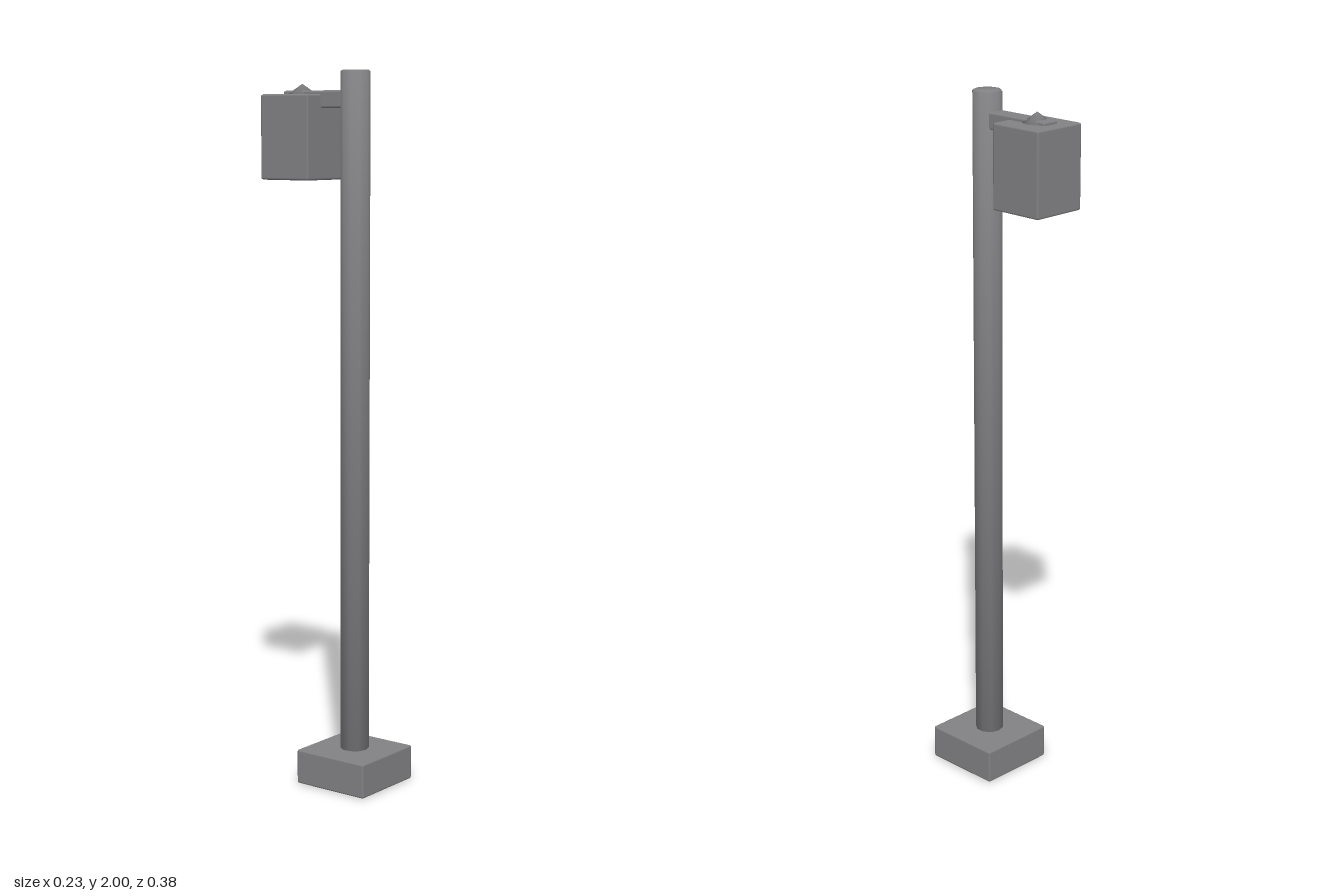
import * as THREE from 'three';
import { mergeVertices } from 'three/addons/utils/BufferGeometryUtils.js';
import { RoundedBoxGeometry } from 'three/addons/geometries/RoundedBoxGeometry.js';

const material = new THREE.MeshStandardMaterial({ color: 0x828184 });

// Box with a narrow bevel and normals that lean outward at its corners
function bevelledBox(width, height, depth) {
  return new RoundedBoxGeometry(width, height, depth, 1, 0.006);
}

// Closed rod standing on y = 0, bevelled at both ends and shaded softly over the rims
function rod(radius, length, sides) {
  const b = 0.004;
  const profile = [
    [0, 0], [radius - b, 0], [radius, b],
    [radius, length - b], [radius - b, length], [0, length],
  ].map(([r, y]) => new THREE.Vector2(r, y));
  const geometry = new THREE.LatheGeometry(profile, sides);

  // Lean each rim normal halfway into the bevel beside it
  const tilts = [-90, -67.5, -22.5, 22.5, 67.5, 90].map(THREE.MathUtils.degToRad);
  const normal = geometry.attributes.normal;
  for (let i = 0; i < normal.count; i++) {
    const turn = Math.floor(i / tilts.length) / sides * Math.PI * 2;
    const tilt = tilts[i % tilts.length];
    normal.setXYZ(i, Math.sin(turn) * Math.cos(tilt), Math.sin(tilt), Math.cos(turn) * Math.cos(tilt));
  }
  return geometry;
}

// Low cone with its seams welded so the shading runs over every edge
function softCone(radius, height, sides) {
  const geometry = new THREE.ConeGeometry(radius, height, sides);
  geometry.deleteAttribute('uv');
  geometry.deleteAttribute('normal');
  const welded = mergeVertices(geometry);
  welded.computeVertexNormals();
  return welded;
}

export function createModel() {
  const model = new THREE.Group();
  model.name = 'streetLamp';

  function add(name, geometry, y, z) {
    const mesh = new THREE.Mesh(geometry, material);
    mesh.name = name;
    mesh.position.set(0, y, z);
    model.add(mesh);
  }

  const postZ = 0.074;
  const lampZ = -0.11;

  // Footing and upright
  add('base', bevelledBox(0.234, 0.099, 0.234), 0.0505, postZ);
  add('post', rod(0.0405, 2, 10), 0, postZ);

  // Square arm reaching back over the lamp
  add('arm', bevelledBox(0.05, 0.048, 0.234), 1.922, -0.042);

  // Hanging lamp box with its small pointed cap
  add('lampBox', bevelledBox(0.166, 0.234, 0.166), 1.819, lampZ);
  add('lampCap', softCone(0.042, 0.03, 8), 1.95, lampZ);

  return model;
}
